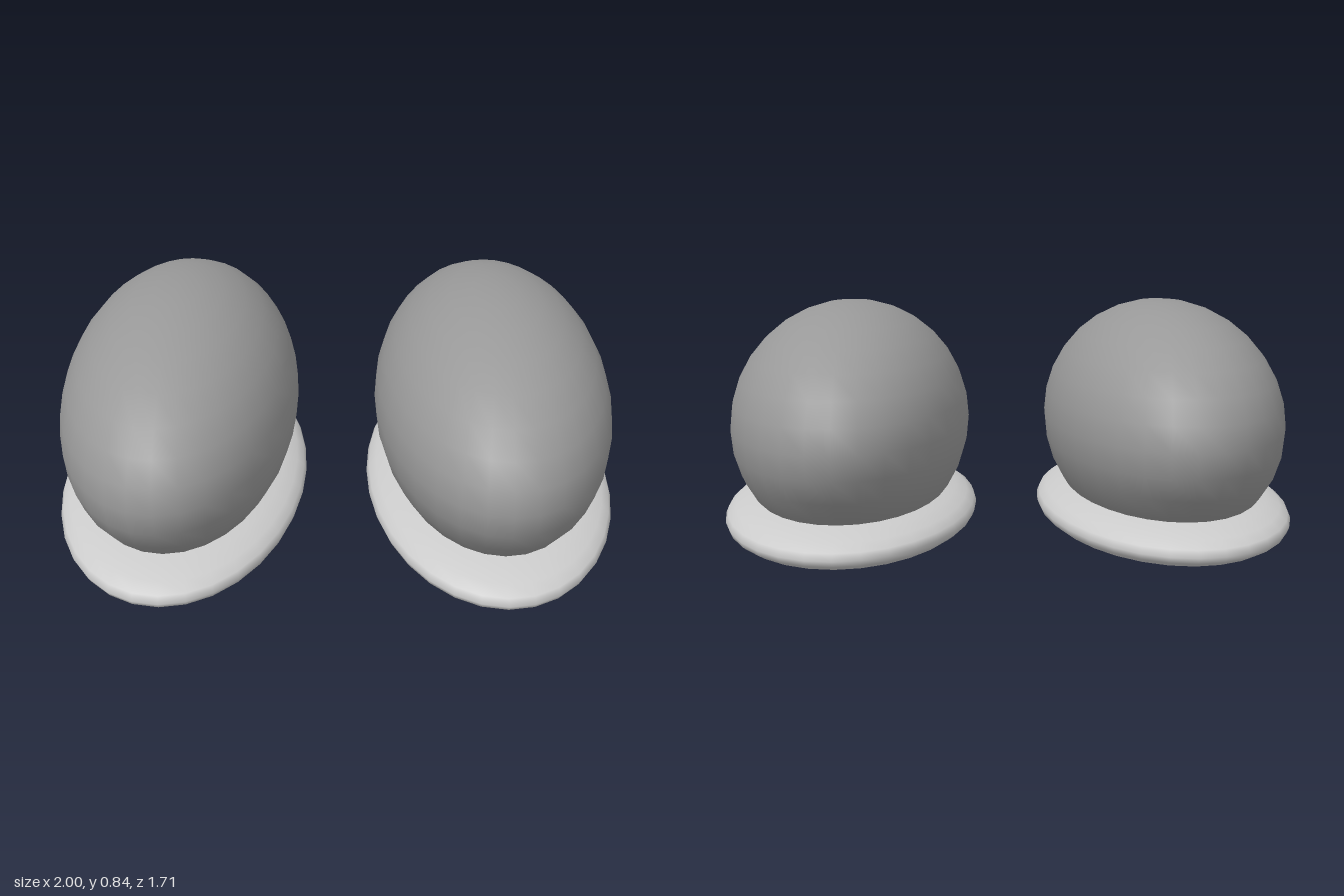
import * as THREE from 'three';

const upperGrey = new THREE.MeshStandardMaterial({ color: 0x999999 });
upperGrey.name = 'upperGrey';
const soleGrey = new THREE.MeshStandardMaterial({ color: 0xcccccc });
soleGrey.name = 'soleGrey';

// Smooth ellipsoid with its radii baked into the geometry
function ellipsoid(name, material, rx, ry, rz, y) {
  const geometry = new THREE.SphereGeometry(1, 32, 16).scale(rx, ry, rz);
  const mesh = new THREE.Mesh(geometry, material);
  mesh.name = name;
  mesh.position.y = y;
  return mesh;
}

export function createModel() {
  const model = new THREE.Group();
  model.name = 'pairOfShoes';

  for (const side of [1, -1]) {
    const shoe = new THREE.Group();
    shoe.name = side > 0 ? 'leftShoe' : 'rightShoe';
    shoe.position.x = side * 0.556;

    // Rounded upper sitting in a flat, slightly wider sole
    shoe.add(ellipsoid('upper', upperGrey, 0.418, 0.418, 0.83, 0.424));
    shoe.add(ellipsoid('sole', soleGrey, 0.444, 0.109, 0.853, 0.109));
    model.add(shoe);
  }
  return model;
}
